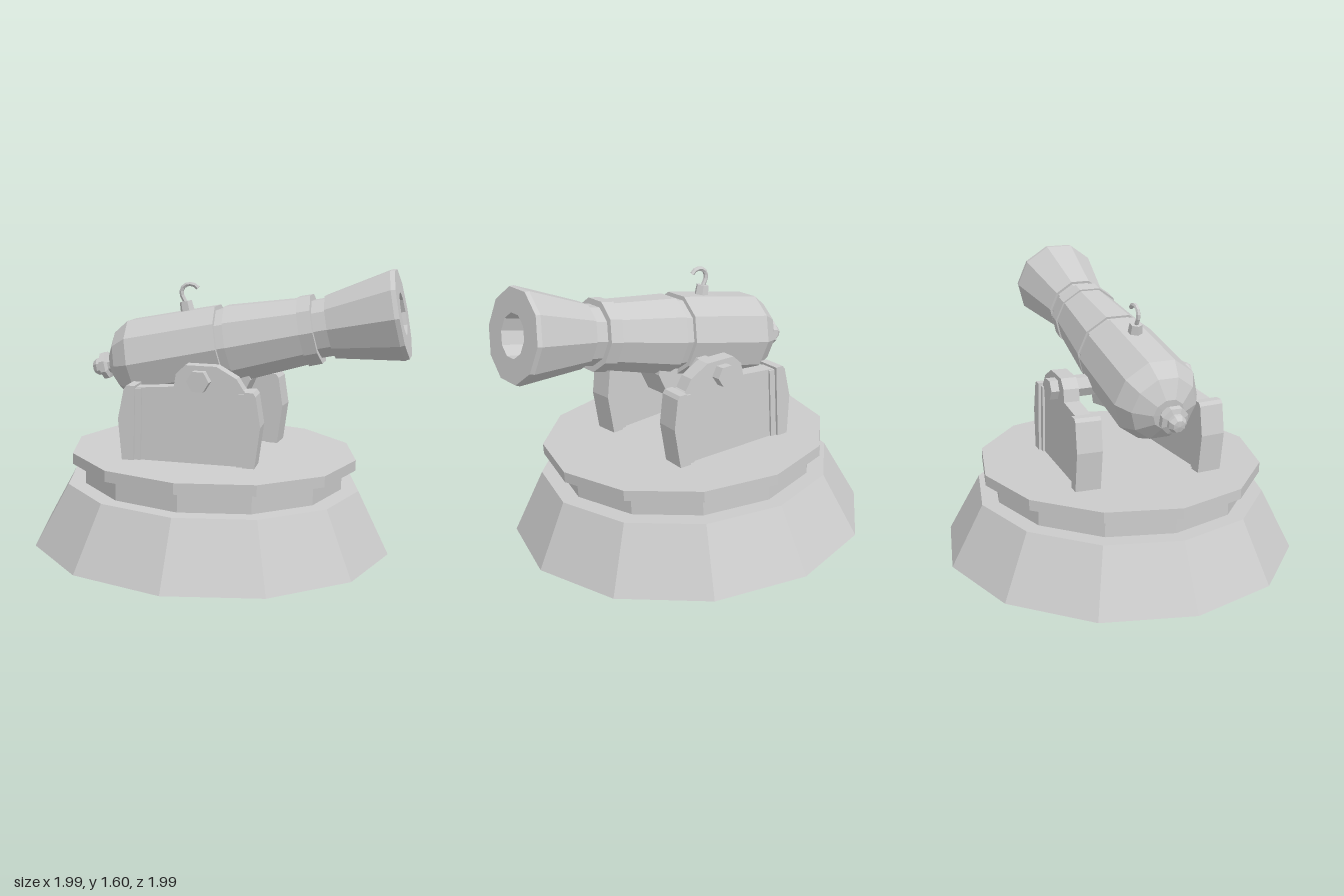
import * as THREE from 'three';

const mat = new THREE.MeshStandardMaterial({ color: 0xcccccc, flatShading: true });
const matDouble = new THREE.MeshStandardMaterial({ color: 0xcccccc, flatShading: true, side: THREE.DoubleSide });

function add(parent, name, geometry, x = 0, y = 0, z = 0, material = mat) {
  const mesh = new THREE.Mesh(geometry, material);
  mesh.name = name;
  mesh.position.set(x, y, z);
  parent.add(mesh);
  return mesh;
}

// Side profile given as (z, y) points, extruded along x and centred on x = 0
function sideSlab(points, thickness) {
  const shape = new THREE.Shape(points.map(([z, y]) => new THREE.Vector2(z, y)));
  const g = new THREE.ExtrudeGeometry(shape, { depth: thickness, bevelEnabled: false });
  g.translate(0, 0, -thickness / 2);
  g.rotateY(-Math.PI / 2);
  return g;
}

// Faceted solid of revolution along z, from (radius, z) points
function turned(points, sides) {
  const g = new THREE.LatheGeometry(points.map(([r, z]) => new THREE.Vector2(r, z)), sides, Math.PI / sides);
  g.rotateX(Math.PI / 2);
  return g;
}

function drum(rTop, rBottom, y0, y1) {
  const g = new THREE.CylinderGeometry(rTop, rBottom, y1 - y0, 12);
  g.translate(0, (y0 + y1) / 2, 0);
  return g;
}

function createCheek(side) {
  const cheek = new THREE.Group();
  cheek.name = side > 0 ? 'leftCheek' : 'rightCheek';
  cheek.position.set(side * 0.348, 0, -0.045);
  cheek.rotation.y = -side * 0.06;

  // plate with the raised trunnion seat
  add(cheek, 'cheekPlate', sideSlab([
    [-0.33, 0.52], [0.33, 0.52], [0.33, 0.92], [0.29, 0.94], [0.25, 1.0], [0.14, 1.06],
    [-0.03, 1.06], [-0.08, 1.01], [-0.09, 0.94], [-0.33, 0.92],
  ], 0.09));

  // end posts with a kinked outer edge, plus a thin strip against each
  for (const end of [-1, 1]) {
    const post = [[0.3, 0.52], [0.365, 0.52], [0.39, 0.75], [0.36, 0.915], [0.345, 0.935], [0.3, 0.935]];
    const strip = [[0.265, 0.52], [0.3, 0.52], [0.3, 0.92], [0.265, 0.92]];
    const flip = (pts) => pts.map(([z, y]) => [z * end, y]);
    add(cheek, 'endPost', sideSlab(flip(post), 0.145));
    add(cheek, 'postStrip', sideSlab(flip(strip), 0.115));
  }
  return cheek;
}

function createBarrel() {
  const barrel = new THREE.Group();
  barrel.name = 'barrel';
  barrel.position.set(0, 1.116, 0);
  barrel.rotation.x = -0.227;

  // breech, chase, flared muzzle and hollow bore in one profile
  add(barrel, 'barrelBody', turned([
    [0, -0.63], [0.09, -0.625], [0.19, -0.565], [0.245, -0.47], [0.24, -0.2], [0.235, 0.05],
    [0.212, 0.05], [0.212, 0.1], [0.225, 0.1], [0.19, 0.51], [0.2, 0.51], [0.198, 0.585],
    [0.165, 0.585], [0.165, 0.66], [0.18, 0.66], [0.255, 1.03], [0.25, 1.055],
    [0.118, 1.055], [0.112, 0.65], [0, 0.65],
  ], 10), 0, 0, 0, matDouble);

  // rear knob
  add(barrel, 'breechKnob', turned([
    [0, -0.755], [0.035, -0.75], [0.052, -0.725], [0.052, -0.705], [0.08, -0.695],
    [0.08, -0.665], [0.05, -0.655], [0.05, -0.61],
  ], 8), 0, 0, 0, matDouble);

  // vent and curled fuse
  add(barrel, 'vent', new THREE.CylinderGeometry(0.036, 0.042, 0.07, 6), 0, 0.245, -0.13);
  const curl = new THREE.CatmullRomCurve3([
    [0.27, -0.13], [0.32, -0.145], [0.355, -0.135], [0.372, -0.1], [0.36, -0.06], [0.34, -0.045],
  ].map(([y, z]) => new THREE.Vector3(0, y, z)));
  add(barrel, 'fuse', new THREE.TubeGeometry(curl, 8, 0.013, 6), 0, 0, 0, matDouble);
  return barrel;
}

export function createModel() {
  const model = new THREE.Group();
  model.name = 'cannonOnPedestal';

  // whole piece leans slightly forward and is turned about its own axis
  const tilt = new THREE.Group();
  tilt.name = 'tilt';
  tilt.position.y = 0.05;
  tilt.rotation.x = 0.05;
  model.add(tilt);
  const turn = new THREE.Group();
  turn.name = 'turn';
  turn.rotation.y = THREE.MathUtils.degToRad(43);
  tilt.add(turn);

  // twelve-sided pedestal
  add(turn, 'pedestalBase', drum(0.838, 1.022, 0, 0.35));
  add(turn, 'pedestalNeck', drum(0.74, 0.74, 0.34, 0.47));
  add(turn, 'turntable', drum(0.815, 0.815, 0.465, 0.525));

  // carriage
  turn.add(createCheek(1), createCheek(-1));
  const trunnion = new THREE.CylinderGeometry(0.062, 0.062, 0.88, 6);
  trunnion.rotateZ(Math.PI / 2);
  add(turn, 'trunnion', trunnion, 0, 0.98, 0.01);
  add(turn, 'barrelSupport', sideSlab([[-0.12, 0.86], [0.16, 0.81], [0.22, 0.95], [0.2, 1.02], [-0.14, 1.0]], 0.2));

  turn.add(createBarrel());
  return model;
}
